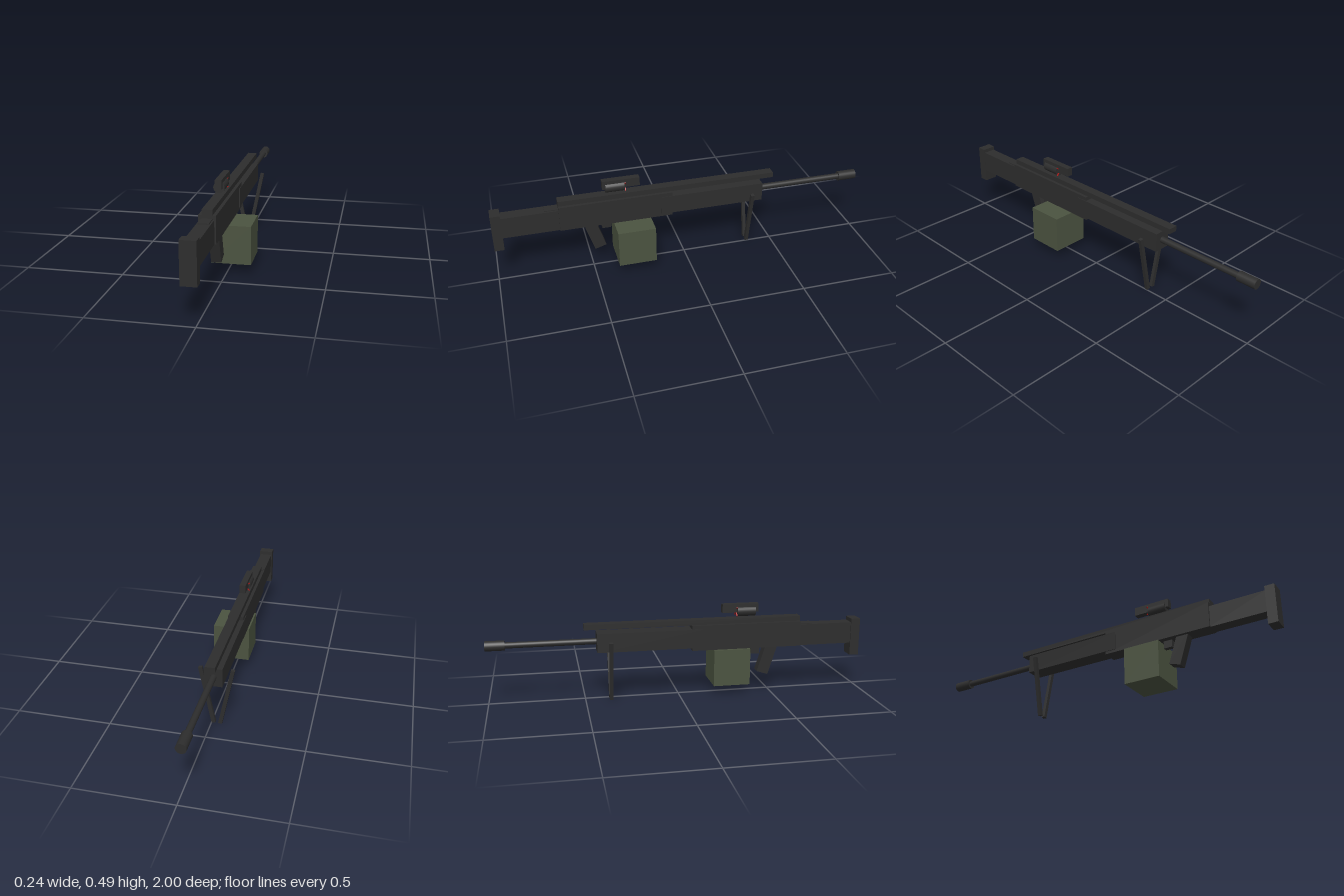
import * as THREE from 'three';

export function createModel() {
  const model = new THREE.Group();
  const gunmetal = new THREE.MeshStandardMaterial({ name: 'gunmetal', color: 0x2d2d2d });
  const olive = new THREE.MeshStandardMaterial({ name: 'olive', color: 0x4b5340 });
  const red = new THREE.MeshStandardMaterial({ name: 'red', color: 0xb01818 });
  const CX = -0.028; // centre line of the body

  const add = (name, geometry, material, x, y, z) => {
    const mesh = new THREE.Mesh(geometry, material);
    mesh.name = name;
    mesh.position.set(x, y, z);
    model.add(mesh);
    return mesh;
  };
  // Box given by its width and its y and z limits
  const block = (name, width, y0, y1, z0, z1, material = gunmetal, x = CX) =>
    add(name, new THREE.BoxGeometry(width, y1 - y0, z1 - z0), material, x, (y0 + y1) / 2, (z0 + z1) / 2);
  // Cylinder lying along z
  const tube = (name, radius, y, z0, z1) =>
    add(name, new THREE.CylinderGeometry(radius, radius, z1 - z0, 24).rotateX(Math.PI / 2),
      gunmetal, CX, y, (z0 + z1) / 2);

  // Stock and body
  block('buttPlate', 0.076, 0.182, 0.385, 0.95, 1.0);
  block('stock', 0.066, 0.25, 0.365, 0.65, 0.955);
  block('stockTopPlate', 0.05, 0.36, 0.37, 0.65, 0.73);
  block('receiver', 0.083, 0.25, 0.385, 0.065, 0.66);
  block('handguard', 0.09, 0.265, 0.365, -0.435, 0.125);
  block('topRail', 0.05, 0.384, 0.412, -0.5, 0.66);

  // Barrel
  tube('barrel', 0.016, 0.318, -0.92, -0.42);
  tube('muzzle', 0.026, 0.318, -1.0, -0.9);

  // Grip, trigger and ammunition box
  const grip = add('grip', new THREE.BoxGeometry(0.05, 0.2, 0.063), gunmetal, CX, 0.199, 0.486);
  grip.rotation.x = 0.31;
  block('trigger', 0.025, 0.21, 0.255, 0.393, 0.44);
  block('ammunitionBox', 0.2, 0.05, 0.248, 0.182, 0.38, olive, 0.022);

  // Sight with a crossed red reticle
  block('sightBody', 0.033, 0.442, 0.488, 0.232, 0.428);
  tube('sightTube', 0.028, 0.447, 0.313, 0.412);
  for (const side of [-1, 1]) {
    const bar = add('reticleBar', new THREE.BoxGeometry(0.066, 0.004, 0.006), red, CX, 0.447, 0.309);
    bar.rotation.z = side * Math.PI / 4;
  }

  // Bipod legs converging towards the ground
  for (const side of [-1, 1]) {
    const leg = add('bipodLeg', new THREE.BoxGeometry(0.02, 0.329, 0.018), gunmetal,
      CX + side * 0.0495, 0.1635, -0.366);
    leg.rotation.z = -side * 0.2;
  }

  return model;
}
